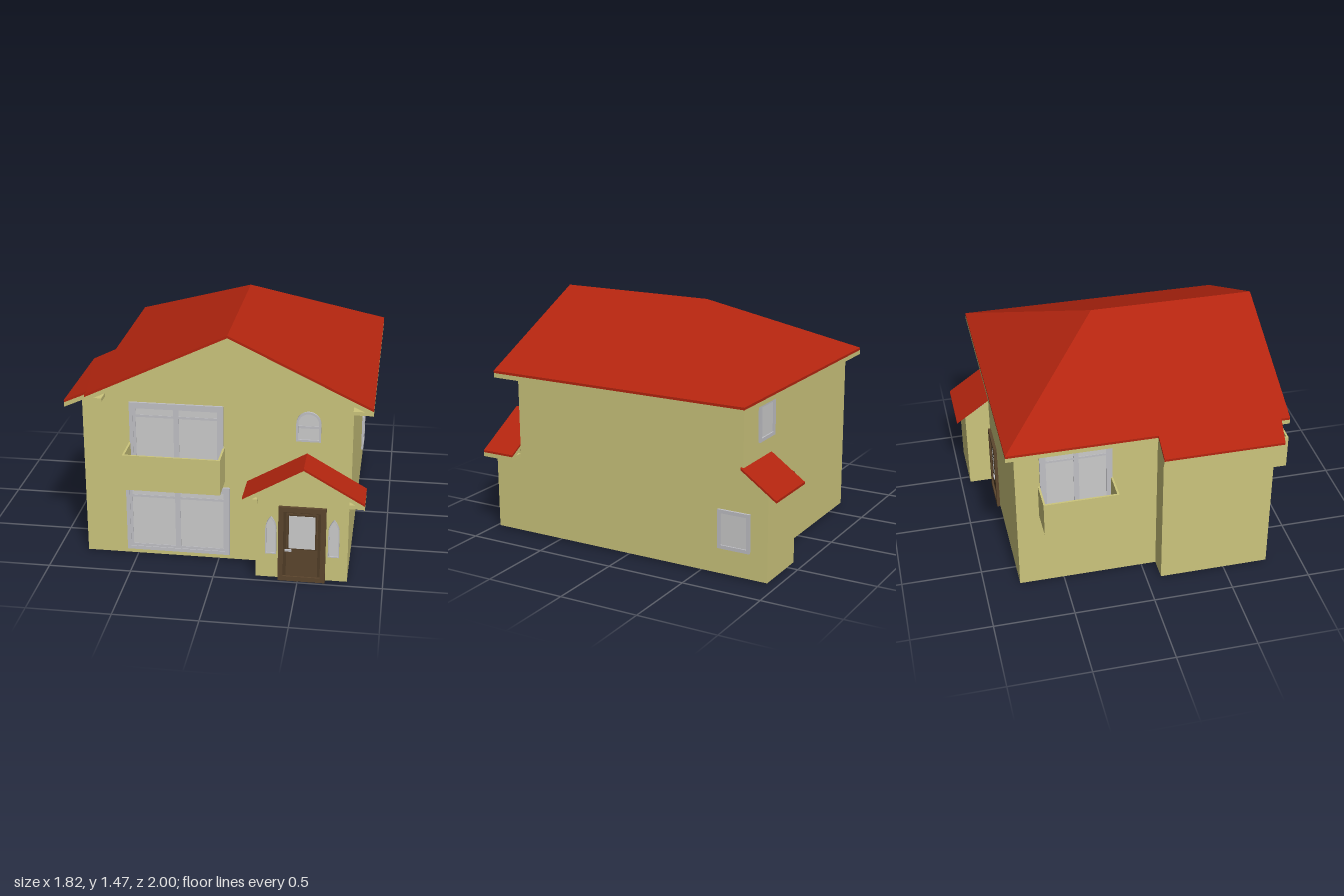
import * as THREE from 'three';

const mat = (name, color) => {
  const m = new THREE.MeshStandardMaterial({ color, side: THREE.DoubleSide });
  m.name = name;
  return m;
};

export function createModel() {
  const yellow = mat('wallYellow', 0xccc57c), red = mat('roofRed', 0xb4250f);
  const frameGrey = mat('frameGrey', 0xc0c0c5), glass = mat('glassGrey', 0xcbcbcb);
  const brown = mat('doorBrown', 0x5c462d), darkBrown = mat('panelBrown', 0x4f3c26);
  const house = new THREE.Group();
  house.name = 'house';

  const add = (parent, name, geo, material) => {
    const m = new THREE.Mesh(geo, material);
    m.name = name;
    parent.add(m);
    return m;
  };
  // Box given by its limits on each axis
  const box = (parent, name, material, x0, x1, y0, y1, z0, z1) =>
    add(parent, name, new THREE.BoxGeometry(x1 - x0, y1 - y0, z1 - z0)
      .translate((x0 + x1) / 2, (y0 + y1) / 2, (z0 + z1) / 2), material);
  const shapeOf = pts => new THREE.Shape(pts.map(p => new THREE.Vector2(...p)));
  const group = (name, x, y, z, turn = 0) => {
    const g = new THREE.Group();
    g.name = name;
    g.position.set(x, y, z);
    g.rotation.y = turn;
    house.add(g);
    return g;
  };

  // Walls: facing z takes (x, y) corners, facing x takes (z, y) corners
  const wallZ = (name, z, pts) =>
    add(house, name, new THREE.ShapeGeometry(shapeOf(pts)).translate(0, 0, z), yellow);
  const wallX = (name, x, pts) =>
    add(house, name, new THREE.ShapeGeometry(shapeOf(pts)).rotateY(-Math.PI / 2).translate(x, 0, 0), yellow);
  const B = 0.01;
  wallZ('frontWall', 0.78, [[-0.81, B], [0.25, B], [0.25, 0.5], [0.79, 0.5], [0.79, 1.08], [0.07, 1.425], [-0.81, 1.0]]);
  wallZ('backWall', -0.78, [[-0.67, B], [0.43, B], [0.43, 0.6], [0.79, 0.6], [0.79, 1.06], [-0.67, 1.06]]);
  wallX('leftSideWall', 0.79, [[0.965, B], [-0.94, B], [-0.94, 0.54], [-0.78, 0.66], [-0.78, 1.07],
    [0.78, 1.07], [0.78, 0.54], [0.965, 0.54]]);
  wallX('rightSideWall', -0.67, [[-0.78, B], [0.09, B], [0.09, 1.06], [-0.78, 1.06]]);
  wallZ('bayBackWall', 0.09, [[-0.81, B], [-0.67, B], [-0.67, 1.07], [-0.81, 1.0]]);
  wallX('baySideWall', -0.81, [[0.09, B], [0.78, B], [0.78, 1.0], [0.09, 1.0]]);
  wallZ('porchFrontWall', 0.965, [[0.25, B], [0.79, B], [0.79, 0.54], [0.525, 0.695], [0.25, 0.54]]);
  wallX('porchSideWall', 0.25, [[0.78, B], [0.965, B], [0.965, 0.54], [0.78, 0.54]]);
  wallZ('annexBackWall', -0.94, [[0.43, B], [0.79, B], [0.79, 0.54], [0.43, 0.54]]);
  wallX('annexSideWall', 0.43, [[-0.78, B], [-0.94, B], [-0.94, 0.54], [-0.78, 0.66]]);

  // Roof slab: a sloping outline with a vertical rim
  const slab = (name, pts, from, drop, material) => {
    const pos = [];
    const put = (p, d) => pos.push(p[0], p[1] - d, p[2]);
    const tris = THREE.ShapeUtils.triangulateShape(pts.map(p => new THREE.Vector2(p[0], p[2])), []);
    for (const t of tris) {
      const n = new THREE.Vector3().subVectors(new THREE.Vector3(...pts[t[1]]), new THREE.Vector3(...pts[t[0]]))
        .cross(new THREE.Vector3().subVectors(new THREE.Vector3(...pts[t[2]]), new THREE.Vector3(...pts[t[0]])));
      const up = n.y > 0 ? t : [t[0], t[2], t[1]];
      up.forEach(i => put(pts[i], from));
      [up[0], up[2], up[1]].forEach(i => put(pts[i], from + drop));
    }
    const clockwise = THREE.ShapeUtils.isClockWise(pts.map(p => new THREE.Vector2(p[0], p[2])));
    pts.forEach((p, i) => {
      let a = p, b = pts[(i + 1) % pts.length];
      if (!clockwise) [a, b] = [b, a];
      put(a, from); put(a, from + drop); put(b, from + drop);
      put(a, from); put(b, from + drop); put(b, from);
    });
    const geo = new THREE.BufferGeometry();
    geo.setAttribute('position', new THREE.Float32BufferAttribute(pos, 3));
    geo.computeVertexNormals();
    add(house, name, geo, material);
  };
  const roof = (name, pts, tile, board) => {
    slab(name + 'Tiles', pts, 0, tile, red);
    if (board) slab(name + 'Boards', pts, tile, board, yellow);
  };

  // Main roof: two slopes and a hip at the back
  const ridgeF = [0.07, 1.47, 0.875], ridgeB = [0.07, 1.47, -0.15];
  const E = 1.07;
  roof('leftRoof', [ridgeF, [0.905, E, 0.875], [0.905, E, -0.84], ridgeB], 0.015, 0.028);
  roof('rightRoof', [ridgeF, [-0.77, E, 0.875], [-0.77, E, 0.82], [-0.915, 1.0, 0.8], [-0.915, 1.0, 0.065],
    [-0.77, E, 0.065], [-0.77, E, -0.84], ridgeB], 0.015, 0.028);
  roof('hipRoof', [ridgeB, [0.905, E, -0.84], [-0.77, E, -0.84]], 0.015, 0.028);
  // Flat soffits under the eaves
  box(house, 'leftSoffit', yellow, 0.79, 0.9, 1.028, 1.05, -0.835, 0.87);
  box(house, 'rightSoffit', yellow, -0.76, -0.67, 1.028, 1.05, -0.835, 0.87);
  box(house, 'backSoffit', yellow, -0.76, 0.9, 1.028, 1.05, -0.835, -0.78);

  // Porch roof and annex roof
  for (const [side, x] of [['Left', 0.88], ['Right', 0.173]]) {
    roof('porch' + side + 'Roof', [[0.526, 0.737, 1.0], [x, 0.535, 1.0], [x, 0.535, 0.78], [0.526, 0.737, 0.78]], 0.013, 0.026);
  }
  box(house, 'porchLeftSoffit', yellow, 0.79, 0.865, 0.497, 0.522, 0.78, 0.99);
  box(house, 'porchRightSoffit', yellow, 0.188, 0.26, 0.497, 0.522, 0.78, 0.99);
  roof('annexRoof', [[0.425, 0.685, -0.77], [0.808, 0.685, -0.77], [0.808, 0.525, -0.998], [0.425, 0.525, -0.998]], 0.014, 0);

  // Window outlines: rectangular, round-headed or pointed, bottom centre at the origin
  const outline = (kind, w, h, inset) => {
    const s = new THREE.Shape(), r = w / 2 - inset, top = h - inset;
    s.moveTo(-r, inset);
    s.lineTo(r, inset);
    if (kind === 'round') s.absarc(0, h - w / 2, r, 0, Math.PI);
    else if (kind === 'pointed') {
      s.lineTo(r, h * 0.66);
      s.quadraticCurveTo(r, h * 0.86, 0, top);
      s.quadraticCurveTo(-r, h * 0.86, -r, h * 0.66);
    } else { s.lineTo(r, top); s.lineTo(-r, top); }
    s.closePath();
    return s;
  };
  const ring = (kind, w, h, border, depth, z0) => {
    const s = outline(kind, w, h, 0);
    s.holes.push(outline(kind, w, h, border));
    return new THREE.ExtrudeGeometry(s, { depth, bevelEnabled: false, curveSegments: 10 }).translate(0, 0, z0);
  };
  const plate = (kind, w, h, border, z) =>
    new THREE.ExtrudeGeometry(outline(kind, w, h, border), { depth: 0.008, bevelEnabled: false, curveSegments: 10 })
      .translate(0, 0, z);
  const makeWindow = (name, kind, w, h, border, x, y, z, turn) => {
    const g = group(name, x, y, z, turn);
    add(g, 'frame', ring(kind, w, h, border, 0.034, -0.02), frameGrey);
    add(g, 'pane', plate(kind, w, h, border, -0.003), glass);
    return g;
  };

  // Sliding windows: two sashes, each with a top light
  const slidingWindow = (name, w, h, x, y, z, turn) => {
    const g = makeWindow(name, 'rect', w, h, 0.022, x, y, z, turn);
    const sw = w / 2 - 0.022, sh = h - 0.044;
    for (const s of [-1, 1]) {
      add(g, 'sash', ring('rect', sw, sh, 0.016, 0.022, -0.013), frameGrey).position.set(s * sw / 2, 0.022, 0);
      box(g, 'transom', frameGrey, s * sw / 2 - sw / 2, s * sw / 2 + sw / 2, h - 0.092, h - 0.078, -0.012, 0.008);
    }
  };
  slidingWindow('groundFrontWindow', 0.63, 0.445, -0.245, 0.04, 0.78, 0);
  slidingWindow('upperFrontWindow', 0.56, 0.475, -0.247, 0.53, 0.78, 0);
  slidingWindow('upperSideWindow', 0.44, 0.475, -0.67, 0.53, -0.41, -Math.PI / 2);
  makeWindow('leftSideWindow', 'rect', 0.21, 0.24, 0.022, 0.79, 0.17, -0.725, Math.PI / 2);
  makeWindow('backWindow', 'rect', 0.2, 0.23, 0.022, 0.505, 0.78, -0.78, Math.PI);
  const arch = makeWindow('archWindow', 'round', 0.145, 0.185, 0.012, 0.532, 0.815, 0.78, 0);
  box(arch, 'crossBar', frameGrey, -0.065, 0.065, 0.083, 0.097, -0.01, 0.01);
  for (const s of [-1, 1]) {
    makeWindow('porchSideLight', 'pointed', 0.065, 0.24, 0.006, 0.523 + s * 0.184, 0.17, 0.965, 0);
  }

  // Balconies: open-topped boxes
  const balcony = (name, w, d, h, x, y, z, turn) => {
    const g = group(name, x, y, z, turn), t = 0.012;
    box(g, 'floor', yellow, -w / 2, w / 2, 0, t, 0, d);
    box(g, 'frontPanel', yellow, -w / 2, w / 2, 0, h, d - t, d);
    box(g, 'leftPanel', yellow, w / 2 - t, w / 2, 0, h, 0, d);
    box(g, 'rightPanel', yellow, -w / 2, -w / 2 + t, 0, h, 0, d);
  };
  balcony('frontBalcony', 0.575, 0.195, 0.22, -0.247, 0.525, 0.78, 0);
  balcony('sideBalcony', 0.455, 0.185, 0.22, -0.67, 0.525, -0.415, -Math.PI / 2);

  // Doors: frame, leaf and handle
  const door = (name, w, h, x, z, turn, handleX) => {
    const g = group(name, x, 0, z, turn);
    add(g, 'frame', ring('rect', w, h, 0.03, 0.045, -0.025), brown);
    box(g, 'leaf', darkBrown, -w / 2 + 0.025, w / 2 - 0.025, 0.005, h - 0.025, -0.015, 0.008);
    box(g, 'handle', frameGrey, handleX - 0.02, handleX + 0.02, 0.196, 0.207, 0.012, 0.024);
    return g;
  };
  const front = door('frontDoor', 0.278, 0.48, 0.522, 0.965, 0, -0.08);
  box(front, 'leafPanel', brown, -0.092, 0.092, 0.02, 0.44, -0.017, 0.011);
  box(front, 'doorFrame', darkBrown, -0.085, 0.085, 0.208, 0.432, 0.006, 0.013);
  box(front, 'doorGlass', glass, -0.077, 0.077, 0.215, 0.425, -0.02, 0.016);
  const back = door('backDoor', 0.25, 0.47, 0.255, -0.78, Math.PI, 0.06);
  for (let i = 0; i < 6; i++) {
    box(back, 'smallPane', glass, -0.042, -0.018, 0.13 + i * 0.045, 0.158 + i * 0.045, -0.017, 0.011);
  }
  return house;
}
